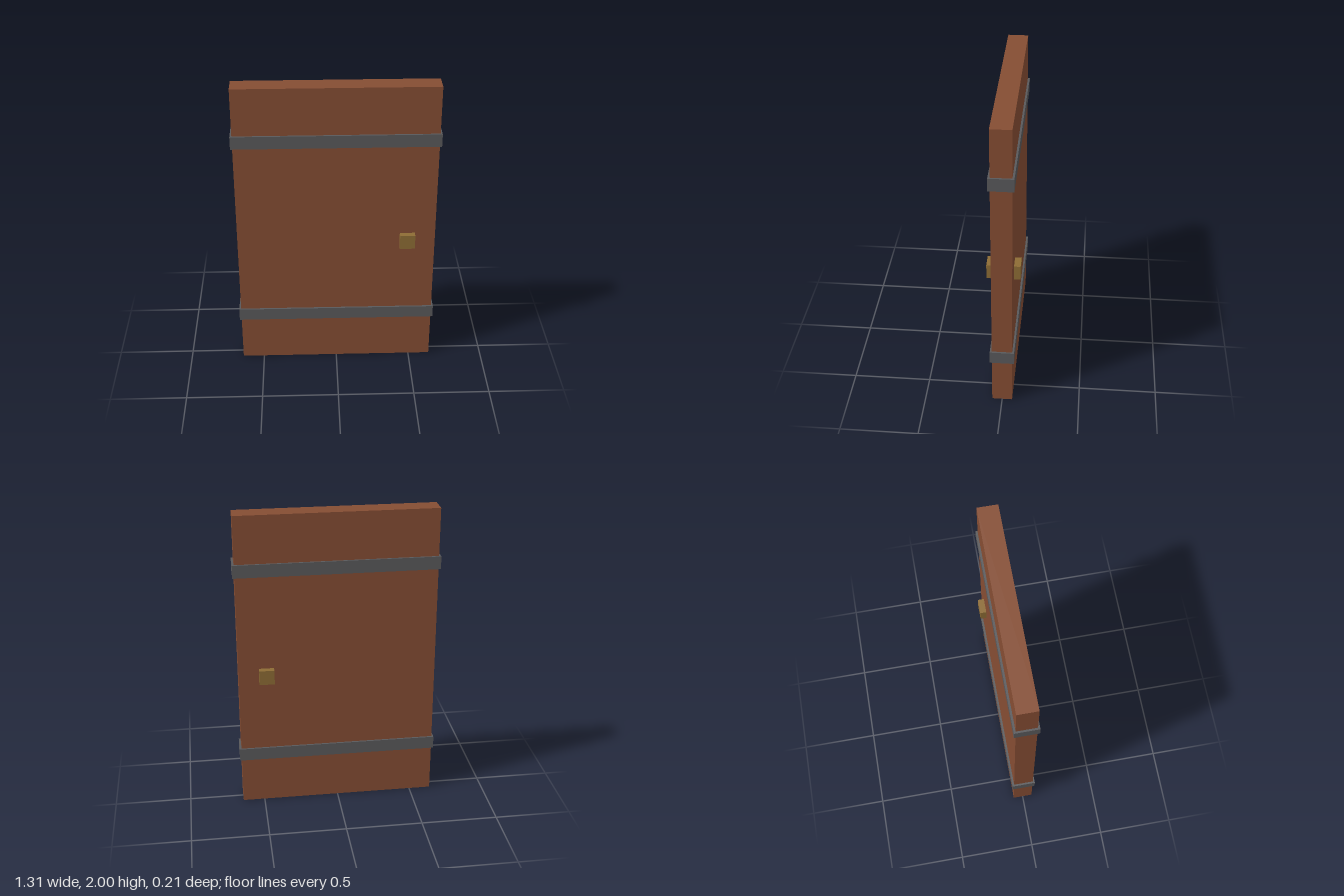
import * as THREE from 'three';

export function createModel() {
  const model = new THREE.Group();
  model.name = 'door';

  const material = (name, color) => {
    const m = new THREE.MeshStandardMaterial({ color });
    m.name = name;
    return m;
  };
  const wood = material('brown wood', 0x854d33);
  const iron = material('dark iron', 0x59595b);
  const brass = material('aged brass', 0x8d6c35);

  const addBox = (name, mat, size, position) => {
    const mesh = new THREE.Mesh(new THREE.BoxGeometry(...size), mat);
    mesh.name = name;
    mesh.position.set(...position);
    model.add(mesh);
  };

  // Door slab
  addBox('doorPanel', wood, [1.286, 2, 0.13], [0, 1, 0]);

  // Iron bands wrapping the whole slab
  addBox('lowerBand', iron, [1.31, 0.084, 0.155], [0, 0.359, 0]);
  addBox('upperBand', iron, [1.31, 0.084, 0.155], [0, 1.647, 0]);

  // Square handles on both faces
  for (const [name, side] of [['frontHandle', 1], ['backHandle', -1]]) {
    addBox(name, brass, [0.098, 0.097, 0.046], [0.462, 0.93, side * 0.083]);
  }

  return model;
}
